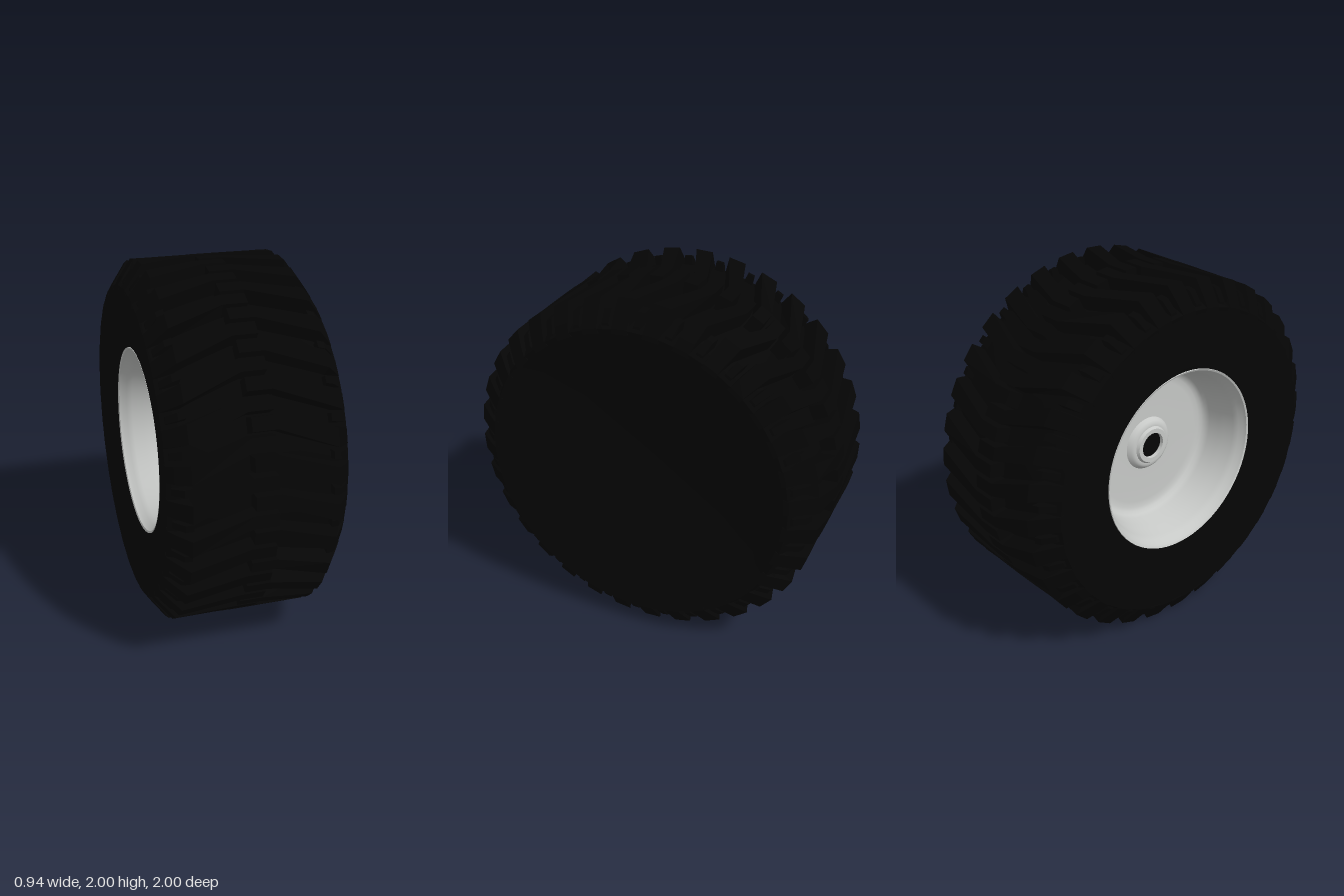
import * as THREE from 'three';
import { mergeGeometries, toCreasedNormals } from 'three/addons/utils/BufferGeometryUtils.js';

const COUNT = 32;
const PITCH = Math.PI * 2 / COUNT;

// Lathe profile of [radius, x] pairs, turned around the x axis
function latheX(points, segments, crease) {
  const geo = new THREE.LatheGeometry(points.map(([r, x]) => new THREE.Vector2(r, x)), segments);
  geo.rotateZ(-Math.PI / 2);
  return toCreasedNormals(geo, crease);
}

// One tread block: four-cornered sections swept along x.
// Station: [x, angle offset, top radius, base radius, half angle]
function lugGeometry(stations, angle) {
  const pos = [], index = [];
  for (const [x, offset, top, base, half] of stations) {
    const t = angle + offset;
    const corners = [[base, -half - 0.008], [top, -half], [top, half], [base, half + 0.008]];
    for (const [r, a] of corners) pos.push(x, r * Math.sin(t + a), r * Math.cos(t + a));
  }
  const quad = (a, b, c, d) => index.push(a, b, c, a, c, d);
  const last = (stations.length - 1) * 4;
  for (let s = 0; s < last; s += 4) {
    for (let k = 0; k < 3; k++) quad(s + k, s + 4 + k, s + 5 + k, s + 1 + k);
  }
  quad(0, 1, 2, 3);
  quad(last + 3, last + 2, last + 1, last);
  const geo = new THREE.BufferGeometry();
  geo.setAttribute('position', new THREE.Float32BufferAttribute(pos, 3));
  geo.setIndex(index);
  const flat = geo.toNonIndexed();
  flat.computeVertexNormals();
  return flat;
}

// The same block repeated around the wheel, shifted by a part of the pitch
function lugRing(stations, shift) {
  const lugs = [];
  for (let i = 0; i < COUNT; i++) lugs.push(lugGeometry(stations, (i + shift) * PITCH));
  return mergeGeometries(lugs);
}

const mirror = (stations) => stations.map(([x, ...rest]) => [-x, ...rest]).reverse();

export function createModel() {
  const rubber = new THREE.MeshStandardMaterial({ color: 0x050505 });
  rubber.name = 'black rubber';
  const metal = new THREE.MeshStandardMaterial({ color: 0xc6c8c6 });
  metal.name = 'silver metal';

  const wheel = new THREE.Group();
  wheel.name = 'wheel';
  const add = (name, geo, mat) => {
    const mesh = new THREE.Mesh(geo, mat);
    mesh.name = name;
    mesh.position.y = 1;
    wheel.add(mesh);
    return mesh;
  };

  // Tyre body: open sidewall at -x, closed and slightly dished sidewall at +x
  add('tyreBody', latheX([
    [0.515, -0.41], [0.525, -0.425], [0.62, -0.44], [0.74, -0.455], [0.84, -0.465],
    [0.865, -0.47], [0.885, -0.435], [0.91, -0.36], [0.915, -0.2], [0.915, 0.2], [0.91, 0.36],
    [0.885, 0.435], [0.865, 0.47], [0.84, 0.463], [0.74, 0.452], [0.52, 0.43], [0, 0.43],
  ], 64, 0.4), rubber);

  // Chevron tread: arms on either side, staggered by half a pitch
  const arm = [
    [-0.47, -0.12, 0.868, 0.84, 0.048],
    [-0.44, -0.118, 0.912, 0.86, 0.048],
    [-0.375, -0.11, 1.0, 0.89, 0.048],
    [-0.07, 0, 1.0, 0.9, 0.036],
    [0.06, 0, 1.0, 0.9, 0.036],
  ];
  add('rightLugs', lugRing(arm, 0.75), rubber);
  add('leftLugs', lugRing(mirror(arm), 0.25), rubber);

  // Small shoulder blocks in the grooves between the arms
  const nub = [
    [-0.45, -0.118, 0.889, 0.85, 0.02],
    [-0.4, -0.113, 0.95, 0.87, 0.02],
    [-0.36, -0.106, 0.96, 0.89, 0.02],
  ];
  add('rightShoulderBlocks', lugRing(nub, 0.25), rubber);
  add('leftShoulderBlocks', lugRing(mirror(nub), 0.75), rubber);

  // Dished rim: hub rings, disc, barrel and lip
  add('rim', latheX([
    [0.072, -0.165], [0.075, -0.19], [0.1, -0.19], [0.11, -0.175], [0.125, -0.175],
    [0.14, -0.165], [0.155, -0.145], [0.36, -0.145], [0.395, -0.147], [0.415, -0.155],
    [0.43, -0.17], [0.44, -0.195], [0.45, -0.26], [0.462, -0.29], [0.475, -0.35],
    [0.488, -0.38], [0.503, -0.4], [0.51, -0.42], [0.52, -0.425], [0.525, -0.41],
  ], 64, 0.75), metal);

  // Dark axle bore
  const bore = new THREE.CircleGeometry(0.074, 32);
  bore.rotateY(-Math.PI / 2);
  add('axleBore', bore, rubber).position.x = -0.17;

  return wheel;
}
